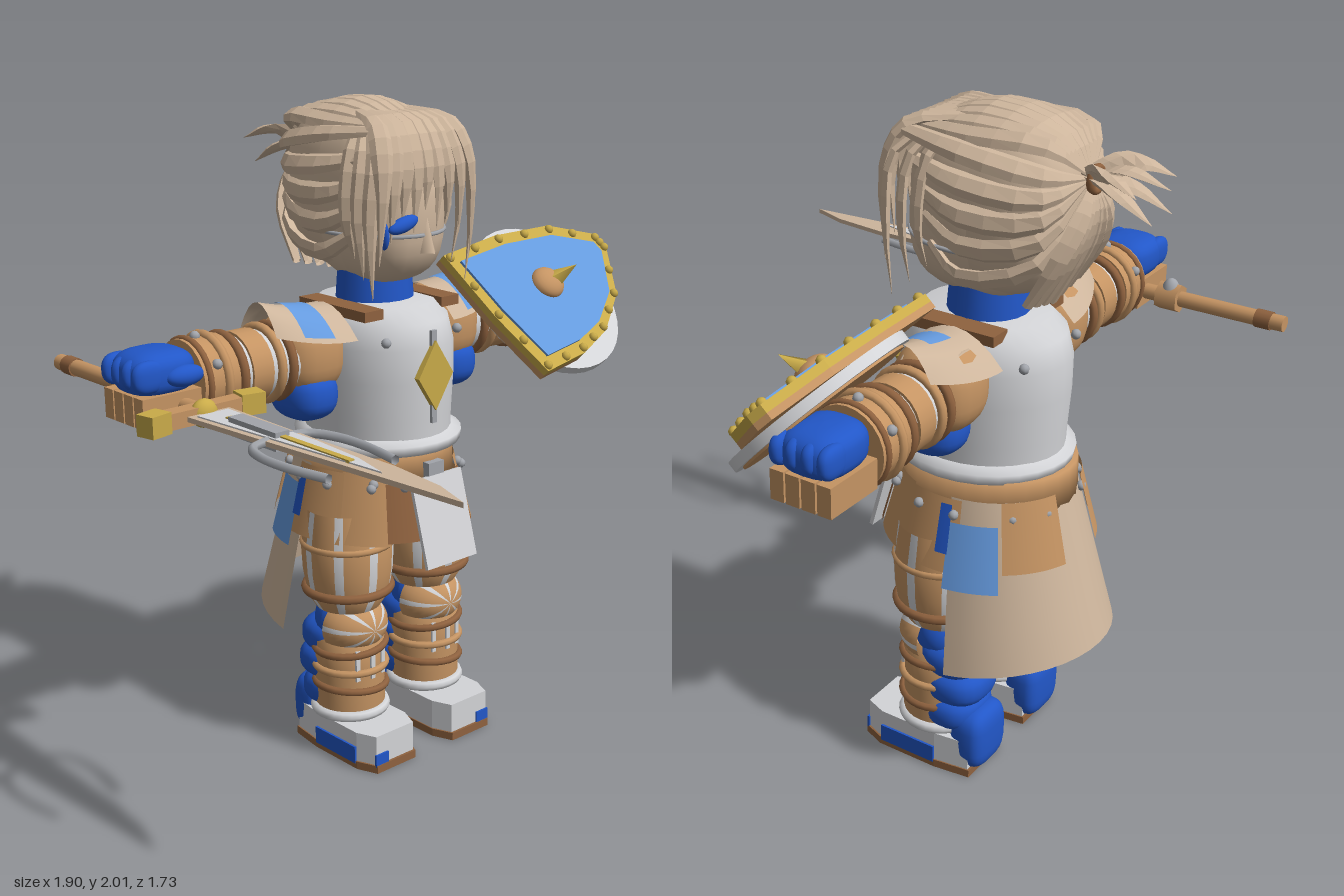
import * as THREE from 'three';

const material = (name, color) => {
  const m = new THREE.MeshStandardMaterial({ color, side: THREE.DoubleSide });
  m.name = name;
  return m;
};
const V = (x, y, z) => new THREE.Vector3(x, y, z);

// Surface from a rule f(u, v) with u and v in 0..1
function sheet(f, nu = 8, nv = 8) {
  const pos = [], idx = [];
  for (let i = 0; i <= nu; i++) for (let j = 0; j <= nv; j++) pos.push(...f(i / nu, j / nv));
  for (let i = 0; i < nu; i++) for (let j = 0; j < nv; j++) {
    const a = i * (nv + 1) + j, b = a + nv + 1;
    idx.push(a, a + 1, b, b, a + 1, b + 1);
  }
  const g = new THREE.BufferGeometry();
  g.setAttribute('position', new THREE.Float32BufferAttribute(pos, 3));
  g.setIndex(idx);
  g.computeVertexNormals();
  return g;
}
// Sphere with squared-off sides
function blob(rx, ry, rz, pow = 1, ...arcs) {
  const g = new THREE.SphereGeometry(1, 24, 16, ...arcs), p = g.attributes.position;
  const q = (n) => Math.sign(n) * Math.abs(n) ** pow;
  for (let i = 0; i < p.count; i++) p.setXYZ(i, rx * q(p.getX(i)), ry * q(p.getY(i)), rz * q(p.getZ(i)));
  g.computeVertexNormals();
  return g;
}
// Tapered, faceted lock of hair
function lock(points, w) {
  const c = new THREE.CatmullRomCurve3(points), mid = V(0, 1.7, -0.33);
  const g = sheet((u, v) => {
    const p = c.getPoint(u), t = c.getTangent(u), out = p.clone().sub(mid).normalize();
    const side = t.cross(out).normalize(), a = v * Math.PI * 2;
    const r = w * Math.min(0.55 + u * 1.2, 1, (1 - u) * 2.5 + 0.03);
    return p.addScaledVector(side, Math.cos(a) * r).addScaledVector(out, Math.sin(a) * r * 0.55).toArray();
  }, 9, 6).toNonIndexed();
  g.computeVertexNormals();
  return g;
}
const lathe = (pts, seg = 28, start = 0, len = Math.PI * 2) =>
  new THREE.LatheGeometry(pts.map(([r, y]) => new THREE.Vector2(r, y)), seg, start, len);
const plate = (pts, depth) => new THREE.ExtrudeGeometry(
  new THREE.Shape(pts.map(([x, y]) => new THREE.Vector2(x, y))), { depth, bevelEnabled: false });

export function createModel() {
  const beige = material('beige', 0xcdb59c), tan = material('leather tan', 0xc59463);
  const brown = material('dark leather', 0x8f623f), blue = material('royal blue', 0x2257c8);
  const sky = material('light blue', 0x659ade), silver = material('silver', 0xd3d4d7);
  const steel = material('steel', 0xa2a5ab), gold = material('gold', 0xc9ab49);
  const model = new THREE.Group(), body = new THREE.Group();
  body.name = 'body';
  body.position.x = -0.015;
  model.add(body);

  const add = (parent, name, geo, mat, x = 0, y = 0, z = 0) => {
    const m = new THREE.Mesh(geo, mat);
    m.name = name;
    m.position.set(x, y, z);
    parent.add(m);
    return m;
  };
  const box = (p, name, mat, w, h, d, x, y, z) => add(p, name, new THREE.BoxGeometry(w, h, d), mat, x, y, z);
  const rivet = (p, x, y, z, mat = steel) => add(p, 'rivet', new THREE.SphereGeometry(0.015, 8, 6), mat, x, y, z);
  const band = (p, name, mat, r, t, x, y, z) => {
    const m = add(p, name, new THREE.TorusGeometry(r, t, 8, 28), mat, x, y, z);
    m.rotation.x = Math.PI / 2;
    return m;
  };

  // Torso armour
  add(body, 'breastplate', lathe([[0.205, 1], [0.208, 1.08], [0.215, 1.2], [0.215, 1.3], [0.2, 1.37], [0.16, 1.415], [0, 1.425]]), silver, 0, 0, -0.295).scale.z = 1.17;
  add(body, 'waistFlange', lathe([[0.2, 0.985], [0.24, 0.985], [0.245, 1.015], [0.215, 1.03]]), silver, 0, 0, -0.295).scale.z = 1.1;
  add(body, 'waistBelt', lathe([[0, 0.86], [0.225, 0.88], [0.222, 0.99], [0, 0.99]]), tan, 0, 0, -0.315).scale.z = 1.18;
  add(body, 'chestRidge', new THREE.BoxGeometry(0.02, 0.28, 0.01), steel, 0, 1.215, -0.042);
  add(body, 'chestDiamond', plate([[0, -0.105], [0.068, 0], [0, 0.105], [-0.068, 0]], 0.02), gold, 0, 1.22, -0.05);
  box(body, 'beltBuckle', steel, 0.06, 0.05, 0.03, 0, 0.93, -0.045);
  add(body, 'neck', new THREE.CylinderGeometry(0.11, 0.12, 0.13, 20), blue, 0, 1.45, -0.3);
  add(body, 'hips', blob(0.2, 0.16, 0.2), tan, 0, 0.8, -0.29);
  for (const s of [-1, 1]) {
    box(body, 'shoulderStrap', brown, 0.07, 0.03, 0.3, s * 0.15, 1.405, -0.28);
    for (const z of [-0.09, -0.5]) rivet(body, s * 0.14, 1.33, z);
    rivet(body, s * 0.1, 0.89, -0.06);
    rivet(body, s * 0.17, 0.9, -0.12);
  }

  // Skirt panels, cape and front cloth; angles run from the front
  const panel = (name, mat, a0, a1, y0, y1, out = 0) => add(body, name, sheet((u, v) => {
    const a = (a0 + (a1 - a0) * u) * Math.PI / 180, y = y0 + (y1 - y0) * v;
    const r = 0.235 + (0.93 - y) * 0.25 + out;
    return [Math.sin(a) * r, y, -0.31 + Math.cos(a) * r * 1.08];
  }), mat);
  for (const s of [-1, 1]) {
    panel('darkFlap', brown, s * 16, s * 36, 0.73, 0.9, 0.005);
    panel('frontPanel', tan, s * 34, s * 66, 0.72, 0.93);
    panel('sidePanel', tan, s * 64, s * 104, 0.72, 0.93, 0.008);
    panel('bluePanel', sky, s * 98, s * 126, 0.68, 0.87, 0.016);
    panel('blueStrip', blue, s * 92, s * 99, 0.78, 0.92, 0.02);
    panel('backPanel', tan, s * 128, s * 164, 0.74, 0.94, 0.022);
    for (const a of [45, 75, 100, 135, 158]) {
      const t = a * Math.PI / 180;
      rivet(body, s * Math.sin(t) * 0.258, 0.89, -0.31 + Math.cos(t) * 0.275);
    }
  }
  add(body, 'cape', sheet((u, v) => {
    const a = (u - 0.5) * 3.1, r = 0.23 + v * 0.095;
    return [Math.sin(a) * r, 0.93 - v * (0.47 + 0.06 * (1 - Math.cos(a))), -0.33 - 0.04 * v - Math.cos(a) * r * 1.03];
  }, 20, 4), beige);
  box(body, 'frontCloth', silver, 0.2, 0.27, 0.012, 0, 0.785, 0).rotation.x = -0.27;

  // Legs
  for (const s of [-1, 1]) {
    const leg = new THREE.Group();
    leg.name = s > 0 ? 'leftLeg' : 'rightLeg';
    leg.position.set(s * 0.158, 0, -0.26);
    body.add(leg);
    const profile = [[0.1, 0.48], [0.125, 0.52], [0.138, 0.6], [0.142, 0.68], [0.125, 0.8]];
    for (let i = 0; i < 8; i++) {
      const a = i * Math.PI / 4;
      add(leg, 'breeches', lathe(profile, 4, a, 0.58), tan);
      add(leg, 'breechesStripe', lathe(profile, 2, a + 0.58, Math.PI / 4 - 0.58), silver);
      const pad = new THREE.Group();
      pad.position.set(0, 0.42, 0.01);
      pad.rotation.x = Math.PI / 2;
      leg.add(pad);
      add(pad, 'kneePad', new THREE.SphereGeometry(0.115, 4, 8, a, 0.6, 0, Math.PI / 2), tan).scale.z = 0.8;
      add(pad, 'kneeStripe', new THREE.SphereGeometry(0.115, 2, 8, a + 0.6, Math.PI / 4 - 0.6, 0, Math.PI / 2), silver).scale.z = 0.8;
    }
    band(leg, 'thighBand', brown, 0.13, 0.015, 0, 0.54, 0);
    band(leg, 'thighCuff', tan, 0.135, 0.012, 0, 0.69, 0);
    add(leg, 'kneeBack', blob(0.095, 0.09, 0.09), blue, 0, 0.43, -0.02);
    add(leg, 'shin', lathe([[0.1, 0.12], [0.11, 0.16], [0.108, 0.3], [0.11, 0.37], [0.08, 0.4]]), tan);
    for (let i = 0; i < 3; i++) {
      add(leg, 'calf', blob(0.108, 0.065, 0.1, 0.8), blue, 0, 0.19 + i * 0.09, -0.055 - i % 2 * 0.015);
      band(leg, 'shinBand', i % 2 ? tan : brown, 0.11, 0.012, 0, 0.22 + i * 0.065, 0.004).rotation.y = 0.08 * (i - 1);
    }
    for (const x of [-0.05, 0, 0.05]) box(leg, 'shinStripe', silver, 0.015, 0.1, 0.008, x, 0.31, Math.sqrt(0.0122 - x * x));
    // Boot built from its footprint
    const foot = (k) => [[-0.085, -0.16], [0.085, -0.16], [0.1, -0.05], [0.1, 0.14], [0.075, 0.205], [-0.075, 0.205], [-0.1, 0.14], [-0.1, -0.05]].map(([x, z]) => [x * k, z * k]);
    const flat = (name, geo, mat, top) => { add(leg, name, geo, mat, 0, top, 0.005).rotation.x = Math.PI / 2; };
    flat('sole', plate(foot(1.04), 0.025), brown, 0.025);
    flat('boot', plate(foot(1), 0.1), silver, 0.12);
    band(leg, 'bootCuff', silver, 0.108, 0.017, 0, 0.14, 0);
    add(leg, 'heel', blob(0.09, 0.1, 0.06, 0.6), blue, 0, 0.11, -0.135);
    box(leg, 'bootPatch', blue, 0.008, 0.055, 0.19, s * 0.103, 0.045, 0.05);
    box(leg, 'bootToePatch', blue, 0.05, 0.04, 0.008, s * 0.055, 0.04, 0.212);
  }

  // Arms, reaching straight out to the sides
  for (const s of [-1, 1]) {
    const arm = new THREE.Group();
    arm.name = s > 0 ? 'leftArm' : 'rightArm';
    arm.position.set(0, 1.28, -0.32);
    body.add(arm);
    const sleeve = (name, mat, x0, x1, r) => {
      add(arm, name, new THREE.CylinderGeometry(r, r, x1 - x0, 24), mat, s * (x0 + x1) / 2).rotation.z = Math.PI / 2;
    };
    const hoop = (mat, x, r, t = 0.014) => { add(arm, 'armBand', new THREE.TorusGeometry(r, t, 8, 24), mat, s * x).rotation.y = Math.PI / 2; };
    add(arm, 'sleeve', blob(0.115, 0.125, 0.125, 0.8), tan, s * 0.27, 0.01);
    add(arm, 'underSleeve', blob(0.085, 0.08, 0.105, 0.8), blue, s * 0.28, -0.11, 0.02);
    for (const z of [-0.07, 0, 0.07]) add(arm, 'sleeveStripe', new THREE.TorusGeometry(0.118, 0.006, 6, 16, Math.PI), beige, s * 0.27, 0, z);
    sleeve('forearm', silver, 0.34, 0.6, 0.1);
    sleeve('elbowGuard', tan, 0.45, 0.52, 0.108);
    sleeve('cuff', tan, 0.57, 0.69, 0.114);
    hoop(brown, 0.38, 0.106);
    hoop(tan, 0.42, 0.106);
    hoop(brown, 0.55, 0.106);
    hoop(tan, 0.61, 0.115);
    hoop(brown, 0.67, 0.113, 0.01);
    for (const a of [0.5, 1.57, 2.64]) rivet(arm, s * 0.64, Math.sin(a) * 0.116, Math.cos(a) * 0.116);
    add(arm, 'hand', blob(0.105, 0.065, 0.095, 0.7), blue, s * 0.78, 0.045);
    for (let i = 0; i < 4; i++) {
      const z = -0.072 + i * 0.048;
      add(arm, 'knuckle', blob(0.05, 0.045, 0.023, 0.8), blue, s * 0.845, 0.05, z);
      box(arm, 'gloveFinger', tan, 0.19, 0.085, 0.042, s * 0.785, -0.045, z);
    }
    add(arm, 'thumb', blob(0.06, 0.03, 0.03), blue, s * 0.74, 0.04, 0.09);

    // Curved shoulder guard with a painted patch
    const guard = (u0, u1, v0, v1, lift) => sheet((a, b) => {
      const u = u0 + (u1 - u0) * a, v = v0 + (v1 - v0) * b;
      return [s * (0.19 + 0.24 * u), 0.145 + 0.035 * u * u - 0.09 * v * v + lift, 0.01 + v * 0.155 * (1 - 0.45 * u * u)];
    });
    add(arm, 'shoulderGuard', guard(0, 1, -1, 1, 0), beige);
    add(arm, 'shoulderPatch', guard(0.3, 0.68, -0.25, 0.95, 0.005), sky);
  }

  // Head and face
  const head = new THREE.Group();
  head.name = 'head';
  body.add(head);
  add(head, 'face', blob(0.152, 0.2, 0.21, 0.72), beige, 0, 1.67, -0.285);
  add(head, 'nose', new THREE.ConeGeometry(0.03, 0.1, 4), beige, 0, 1.63, -0.065);
  add(head, 'eyeBand', new THREE.TorusGeometry(0.17, 0.006, 6, 28), steel, 0, 1.63, -0.285).rotation.x = Math.PI / 2;
  head.children.at(-1).scale.set(1.05, 1.28, 1);
  const brow = add(head, 'browPaint', blob(0.055, 0.022, 0.02), blue, -0.09, 1.67, -0.068);
  brow.rotation.z = 0.25;
  add(head, 'cheekPaint', blob(0.012, 0.04, 0.02), blue, -0.14, 1.64, -0.095);
  add(head, 'hairTop', blob(0.182, 0.245, 0.25, 0.75, 0, Math.PI * 2, 0, 1.55), beige, 0, 1.74, -0.335);
  add(head, 'hairBack', blob(0.182, 0.25, 0.245, 0.75, Math.PI, Math.PI), beige, 0, 1.74, -0.335);

  // Hair locks
  const hair = (w, ...pts) => add(head, 'hairLock', lock(pts, w), beige);
  const knot = V(0, 1.84, -0.6);
  for (let i = -4; i <= 4; i++) {
    const tip = 1.7 - 0.03 * (Math.abs(i * 5) % 3) - (Math.abs(i) > 2 ? 0.08 : 0);
    hair(0.032, V(0.02 * i, 1.97, -0.28), V(0.035 * i, 1.94, -0.12), V(0.042 * i, 1.82, -0.065), V(0.044 * i, tip, -0.075));
    hair(0.034, V(0.03 * i, 1.94, -0.14), V(0.036 * i, 1.99 - i * i * 0.003, -0.32), V(0.03 * i, 1.94, -0.53), knot);
    if (Math.abs(i) < 4) hair(0.035, V(0.045 * i, 1.48 + 0.01 * Math.abs(i), -0.5), V(0.04 * i, 1.65, -0.58), V(0.02 * i, 1.76, -0.61), knot);
  }
  for (const s of [-1, 1]) for (let k = 0; k < 5; k++) {
    hair(0.035, V(s * 0.16, 1.93 - k * 0.075, -0.13 - k * 0.02), V(s * 0.19, 1.91 - k * 0.085, -0.32), V(s * 0.14, 1.87 - k * 0.06, -0.53), knot);
    if (k < 3) hair(0.026, V(s * 0.06, 1.97, -0.25), V(s * 0.165, 1.87, -0.1 - k * 0.05), V(s * 0.195, 1.68, -0.09 - k * 0.05), V(s * (0.18 - k * 0.01), 1.46 + k * 0.05, -0.1 - k * 0.05));
  }
  for (let i = -2; i <= 2; i++) hair(0.035, V(0, 1.84, -0.57), V(0.035 * i, 1.88 - (i & 1) * 0.05, -0.68), V(0.055 * i, 1.85 - (i & 1) * 0.08, -0.82 + 0.02 * Math.abs(i)));
  band(head, 'hairTie', brown, 0.03, 0.012, 0, 1.84, -0.61).rotation.x = 0;

  // Sword, held forward in the right hand
  const sword = new THREE.Group();
  sword.name = 'sword';
  sword.position.set(-0.76, 1.235, 0);
  model.add(sword);
  const blade = (name, mat, w, z0, z1, t) => {
    add(sword, name, plate([[-w, z0], [w, z0], [w * 0.88, 0.25], [w * 0.9, z1 - 0.3], [w * 0.6, z1 - 0.12], [0, z1]], t), mat, 0, t / 2).rotation.x = Math.PI / 2;
  };
  blade('blade', beige, 0.068, -0.12, 0.86, 0.014);
  blade('bladeCore', silver, 0.05, -0.1, 0.58, 0.022);
  box(sword, 'fuller', gold, 0.018, 0.03, 0.5, 0, 0, 0.22);
  box(sword, 'bladeCollar', steel, 0.045, 0.05, 0.2, 0, 0, 0.1);
  box(sword, 'guard', tan, 0.28, 0.045, 0.05, 0, 0, -0.15);
  for (const s of [-1, 1]) {
    box(sword, 'guardEnd', gold, 0.07, 0.06, 0.06, s * 0.155, 0, -0.145).rotation.y = -s * 0.2;
    const curve = new THREE.CatmullRomCurve3([V(0, 0, 0.17), V(s * 0.09, 0, 0.195), V(s * 0.122, 0, 0.27), V(s * 0.125, 0, 0.38), V(s * 0.105, 0, 0.51)]);
    add(sword, 'prong', new THREE.TubeGeometry(curve, 20, 0.013, 6), steel);
  }
  add(sword, 'guardBoss', blob(0.04, 0.04, 0.03), gold, 0, 0, -0.14);
  const grip = (name, mat, r, z0, z1, n = 14) => { add(sword, name, new THREE.CylinderGeometry(r, r, z1 - z0, n), mat, 0, 0, (z0 + z1) / 2).rotation.x = Math.PI / 2; };
  grip('grip', tan, 0.024, -0.87, -0.15);
  grip('gripBand', brown, 0.028, -0.83, -0.78);
  grip('gripCollar', tan, 0.045, -0.53, -0.46, 6);
  add(sword, 'collarStud', blob(0.03, 0.05, 0.03), steel, 0, 0.01, -0.495);

  // Tilted shield on the left arm, its point outward
  const shield = new THREE.Group();
  shield.name = 'shield';
  shield.position.set(0.57, 1.36, -0.14);
  shield.rotation.set(-0.78, 0.05, 0);
  model.add(shield);
  const outline = [[-0.36, 0.18], [-0.1, 0.225], [0.16, 0.235], [0.36, 0.175], [0.375, 0.13], [0.28, -0.06], [0.13, -0.18], [-0.02, -0.24], [-0.22, -0.275], [-0.3, -0.06]];
  const inset = outline.map(([x, y]) => [0.01 + (x - 0.01) * 0.87, y * 0.82]);
  add(shield, 'shieldBacking', plate(outline, 0.02), tan, 0, 0, -0.025);
  add(shield, 'shieldRim', plate(outline, 0.025), gold, 0, 0, -0.005);
  add(shield, 'shieldFace', plate(inset, 0.008), sky, 0, 0, 0.02);
  const disc = (name, mat, r, t, z) => {
    const m = add(shield, name, new THREE.CylinderGeometry(r, r, t, 36), mat, 0.02, 0, z);
    m.rotation.x = Math.PI / 2;
    m.scale.x = 1.05;
  };
  disc('shieldBackRim', silver, 0.272, 0.03, -0.042);
  disc('shieldBackBoard', tan, 0.25, 0.008, -0.06);
  add(shield, 'boss', blob(0.06, 0.055, 0.035), tan, -0.01, 0.02, 0.03);
  const spike = add(shield, 'bossSpike', new THREE.ConeGeometry(0.042, 0.11, 4), gold, 0.025, 0.02, 0.07);
  spike.rotation.set(Math.PI / 2, 0, -0.6);
  for (let i = 0; i < outline.length; i++) {
    const [x, y] = outline[i], [x2, y2] = outline[(i + 1) % outline.length];
    rivet(shield, x * 0.95, y * 0.93, 0.022, gold);
    rivet(shield, (x + x2) * 0.475, (y + y2) * 0.465, 0.022, gold);
  }
  return model;
}
